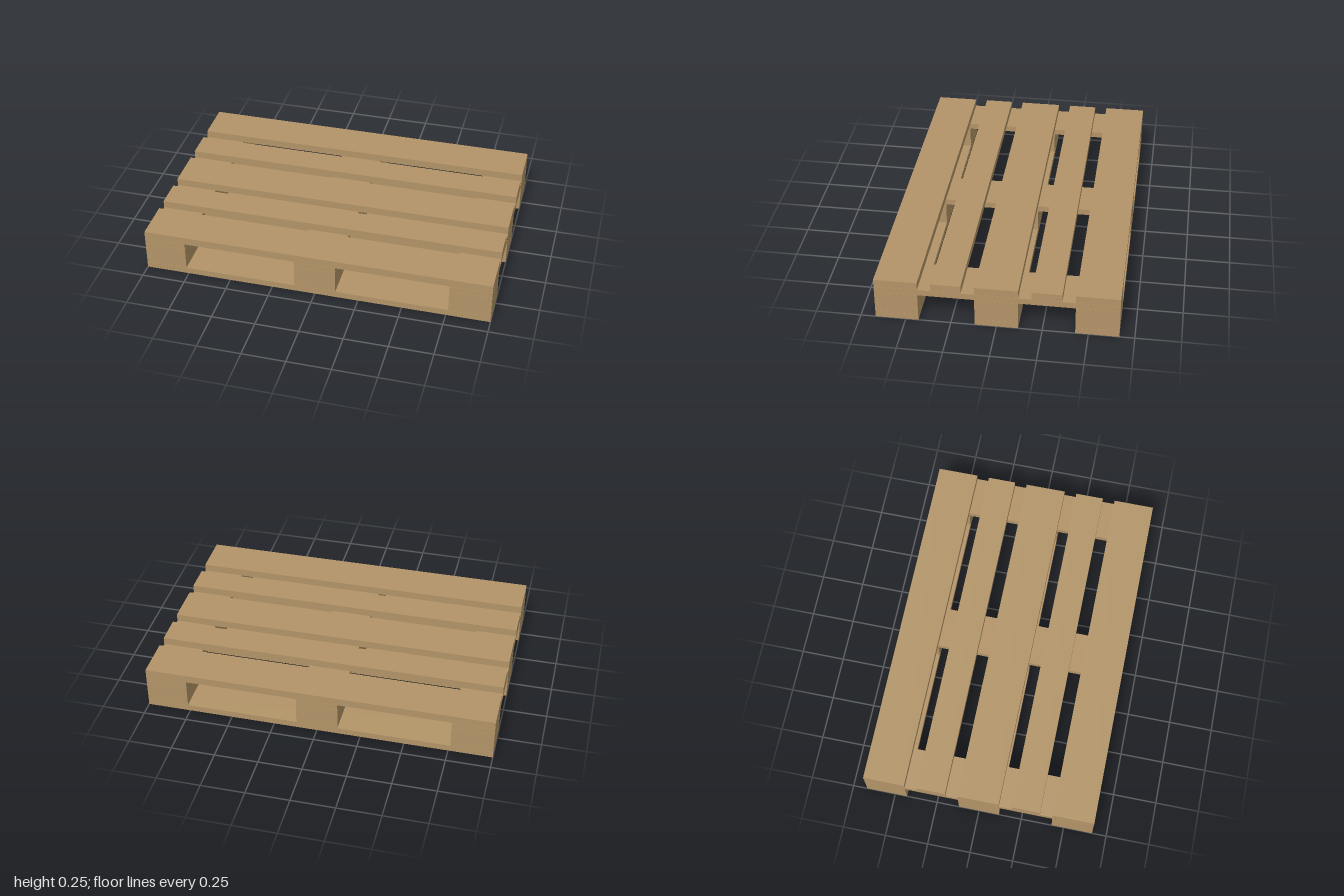
import * as THREE from 'three';

export function createModel() {
  const pallet = new THREE.Group();
  pallet.name = 'pallet';
  const wood = new THREE.MeshStandardMaterial({ color: 0xb39468 });
  wood.name = 'wood';

  // Plank standing on height y, centred on x and z
  function plank(name, width, height, depth, x, y, z) {
    const mesh = new THREE.Mesh(new THREE.BoxGeometry(width, height, depth), wood);
    mesh.name = name;
    mesh.position.set(x, y + height / 2, z);
    pallet.add(mesh);
  }

  const wide = 0.238;
  const rows = [-0.548, 0, 0.548];
  const columns = [-0.881, 0, 0.881];

  // Bottom runners with three blocks on each
  for (const z of rows) {
    plank('bottomBoard', 2, 0.037, wide, 0, 0, z);
    for (const x of columns) plank('block', wide, 0.13, wide, x, 0.038, z);
  }

  // Cross boards over the blocks
  for (const x of columns) plank('crossBoard', wide, 0.035, 1.334, x, 0.169, 0);

  // Deck: wide boards over the blocks, narrow boards between them
  for (const z of rows) plank('wideDeckBoard', 2, 0.045, wide, 0, 0.205, z);
  for (const z of [-0.274, 0.274]) plank('narrowDeckBoard', 2, 0.045, 0.165, 0, 0.205, z);

  return pallet;
}
